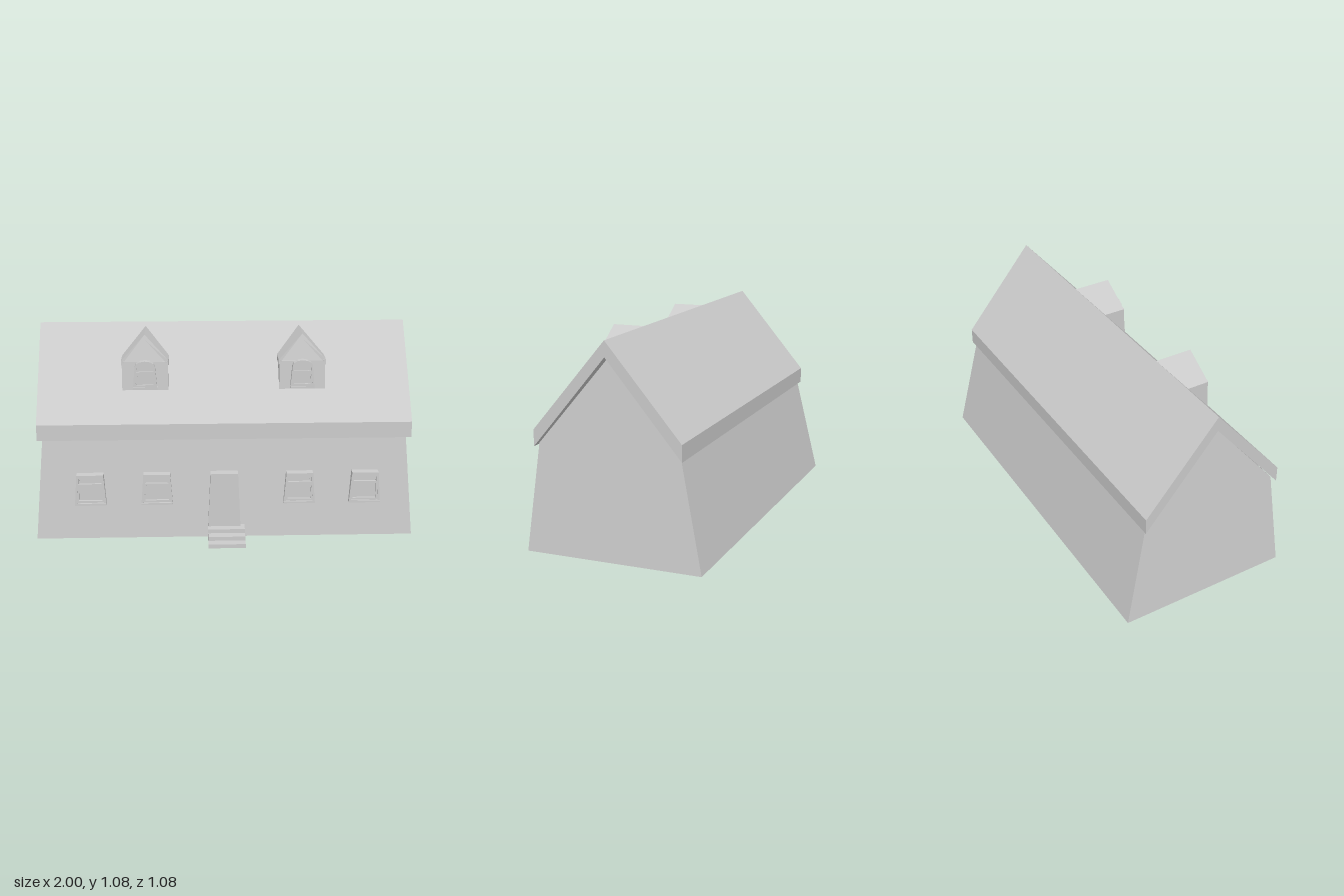
import * as THREE from 'three';

const grey = new THREE.MeshStandardMaterial({ color: 0xcccccc, flatShading: true, side: THREE.DoubleSide });

function add(parent, name, geometry) {
  const mesh = new THREE.Mesh(geometry, grey);
  mesh.name = name;
  parent.add(mesh);
  return mesh;
}

function group(parent, name, x = 0, y = 0) {
  const g = new THREE.Group();
  g.name = name;
  g.position.set(x, y, 0);
  parent.add(g);
  return g;
}

const poly = (pts) => pts.map(([x, y]) => new THREE.Vector2(x, y));

// Four-sided outline, half width w0 at the bottom and w1 at the top
const trap = (y0, y1, w0, w1) => poly([[-w0, y0], [w0, y0], [w1, y1], [-w1, y1]]);

// Outline with a flat-arched head
function arch(y0, y1, rise, w0, w1) {
  const pts = [[-w0, y0], [w0, y0]];
  for (let i = 0; i <= 6; i++) {
    const a = (i / 6) * Math.PI;
    pts.push([w1 * Math.cos(a), y1 + rise * Math.sin(a)]);
  }
  return poly(pts);
}

// Extrusion whose back and front follow rules of the height (numbers or functions)
function slab(outline, zBack, zFront, holes = []) {
  const shape = new THREE.Shape(outline);
  holes.forEach((h) => shape.holes.push(new THREE.Path(h)));
  const g = new THREE.ExtrudeGeometry(shape, { depth: 1, bevelEnabled: false });
  const at = (f, y) => (typeof f === 'function' ? f(y) : f);
  const p = g.attributes.position;
  for (let i = 0; i < p.count; i++) {
    const y = p.getY(i);
    p.setZ(i, p.getZ(i) > 0.5 ? at(zFront, y) : at(zBack, y));
  }
  g.computeVertexNormals();
  return g;
}

// Tapering walls with gable ends, open below and under the roof
function wallsGeometry() {
  const profile = [[0.385, 0], [0.33, 0.548], [-0.04, 1.0], [-0.412, 0.548], [-0.535, 0]];
  const point = (side, i) => [side * (1 - 0.083 * profile[i][1]), profile[i][1], profile[i][0]];
  const v = [];
  const tri = (a, b, c) => v.push(...a, ...b, ...c);
  const R = [0, 1, 2, 3, 4].map((i) => point(1, i));
  const L = [0, 1, 2, 3, 4].map((i) => point(-1, i));
  for (let i = 1; i < 4; i++) {
    tri(R[0], R[i + 1], R[i]);
    tri(L[0], L[i], L[i + 1]);
  }
  tri(L[0], R[0], R[1]);
  tri(L[0], R[1], L[1]);
  tri(R[4], L[4], L[3]);
  tri(R[4], L[3], R[3]);
  const g = new THREE.BufferGeometry();
  g.setAttribute('position', new THREE.Float32BufferAttribute(v, 3));
  g.computeVertexNormals();
  return g;
}

// Thick folded roof running along x
function roofGeometry() {
  const section = poly([[0.345, 0.535], [0.345, 0.62], [-0.04, 1.08], [-0.428, 0.62], [-0.428, 0.535], [-0.04, 1.0]]);
  const g = new THREE.ExtrudeGeometry(new THREE.Shape(section), { depth: 1.964, bevelEnabled: false });
  g.translate(0, 0, -0.982);
  g.rotateY(-Math.PI / 2);
  return g;
}

// Sash window on the front wall
function addWindow(parent, x) {
  const w = group(parent, 'window', x);
  add(w, 'windowFrame', slab(trap(0.19, 0.355, 0.083, 0.07), 0.345, 0.388, [trap(0.2, 0.34, 0.071, 0.06)]));
  add(w, 'windowHead', slab(trap(0.342, 0.357, 0.071, 0.07), 0.345, 0.394));
  add(w, 'upperSash', slab(trap(0.295, 0.342, 0.065, 0.06), 0.352, 0.374, [trap(0.303, 0.334, 0.057, 0.053)]));
  add(w, 'lowerSash', slab(trap(0.198, 0.305, 0.072, 0.064), 0.355, 0.382, [trap(0.21, 0.293, 0.062, 0.056)]));
  add(w, 'windowPane', slab(trap(0.198, 0.342, 0.071, 0.06), 0.36, 0.368));
  add(w, 'windowSill', slab(trap(0.188, 0.198, 0.083, 0.082), 0.345, 0.393));
}

// Raised door panel: moulding with a smaller sunk frame and centre
function addPanel(parent, y0, y1, w0, w1) {
  const p = group(parent, 'doorPanel');
  const m = 0.013;
  add(p, 'panelMoulding', slab(trap(y0, y1, w0, w1), 0.38, 0.396, [trap(y0 + m, y1 - m, w0 - m, w1 - m)]));
  add(p, 'panelCentre', slab(trap(y0 + 0.026, y1 - 0.024, 0.018, 0.026), 0.38, 0.394));
}

function addDoor(parent) {
  const d = group(parent, 'door', -0.005);
  add(d, 'doorFrame', slab(trap(0.06, 0.36, 0.086, 0.072), 0.34, 0.4, [trap(0.05, 0.342, 0.071, 0.058)]));
  add(d, 'doorLeaf', slab(trap(0.06, 0.345, 0.073, 0.06), 0.365, 0.388));
  addPanel(d, 0.238, 0.326, 0.058, 0.046);
  addPanel(d, 0.08, 0.19, 0.056, 0.044);
  const knob = add(d, 'doorKnob', new THREE.BoxGeometry(0.022, 0.007, 0.016));
  knob.position.set(0.052, 0.222, 0.395);
}

function addSteps(parent) {
  const s = group(parent, 'steps');
  const fronts = [0.54, 0.492, 0.443];
  fronts.forEach((z, i) => {
    const h = 0.0215;
    const step = add(s, 'step', new THREE.BoxGeometry(0.194, h, z - 0.37));
    step.position.set(0.005, h * (i + 0.5), (z + 0.37) / 2);
  });
}

// Dormer with a leaning gable, cut off just inside the main roof
function addDormer(parent, x) {
  const d = group(parent, 'dormer', x);
  const back = (y) => 0.325 - (0.385 * (y - 0.62)) / 0.46;
  const face = (y) => (y < 0.925 ? 0.22 - 0.065 * (y - 0.77) : 0.21 - 0.222 * (y - 0.925));
  add(d, 'dormerWalls', slab(trap(0.77, 0.92, 0.121, 0.121), back, face));
  add(d, 'dormerGable', slab(poly([[-0.115, 0.92], [0.115, 0.92], [0, 1.04]]), back, (y) => face(y) - 0.003));
  add(d, 'dormerRoof', slab(
    poly([[0.125, 0.9], [0.125, 0.925], [0, 1.06], [-0.125, 0.925], [-0.125, 0.9], [0, 1.035]]), back, face));

  // Arched dormer window
  const w = group(d, 'dormerWindow');
  add(w, 'dormerFrame', slab(arch(0.78, 0.9, 0.03, 0.064, 0.053), 0.205, 0.24,
    [arch(0.792, 0.892, 0.026, 0.053, 0.044)]));
  add(w, 'dormerPane', slab(arch(0.785, 0.897, 0.028, 0.06, 0.05), 0.205, 0.226));
  add(w, 'dormerSash', slab(trap(0.79, 0.872, 0.055, 0.048), 0.21, 0.236, [trap(0.801, 0.86, 0.044, 0.039)]));
  add(w, 'dormerSill', slab(trap(0.778, 0.79, 0.065, 0.064), 0.205, 0.245));

  // Pegs at the feet of the gable
  for (const side of [-1, 1]) {
    const peg = add(d, 'gablePeg', new THREE.CylinderGeometry(0.005, 0.005, 0.012, 8));
    peg.rotation.x = Math.PI / 2;
    peg.position.set(side * 0.113, 0.92, 0.21);
  }
}

export function createModel() {
  const house = new THREE.Group();
  house.name = 'house';
  add(house, 'walls', wallsGeometry());
  add(house, 'roof', roofGeometry());
  for (const x of [-0.71, -0.36, 0.393, 0.74]) addWindow(house, x);
  for (const x of [-0.416, 0.412]) addDormer(house, x);
  addDoor(house);
  addSteps(house);
  return house;
}
